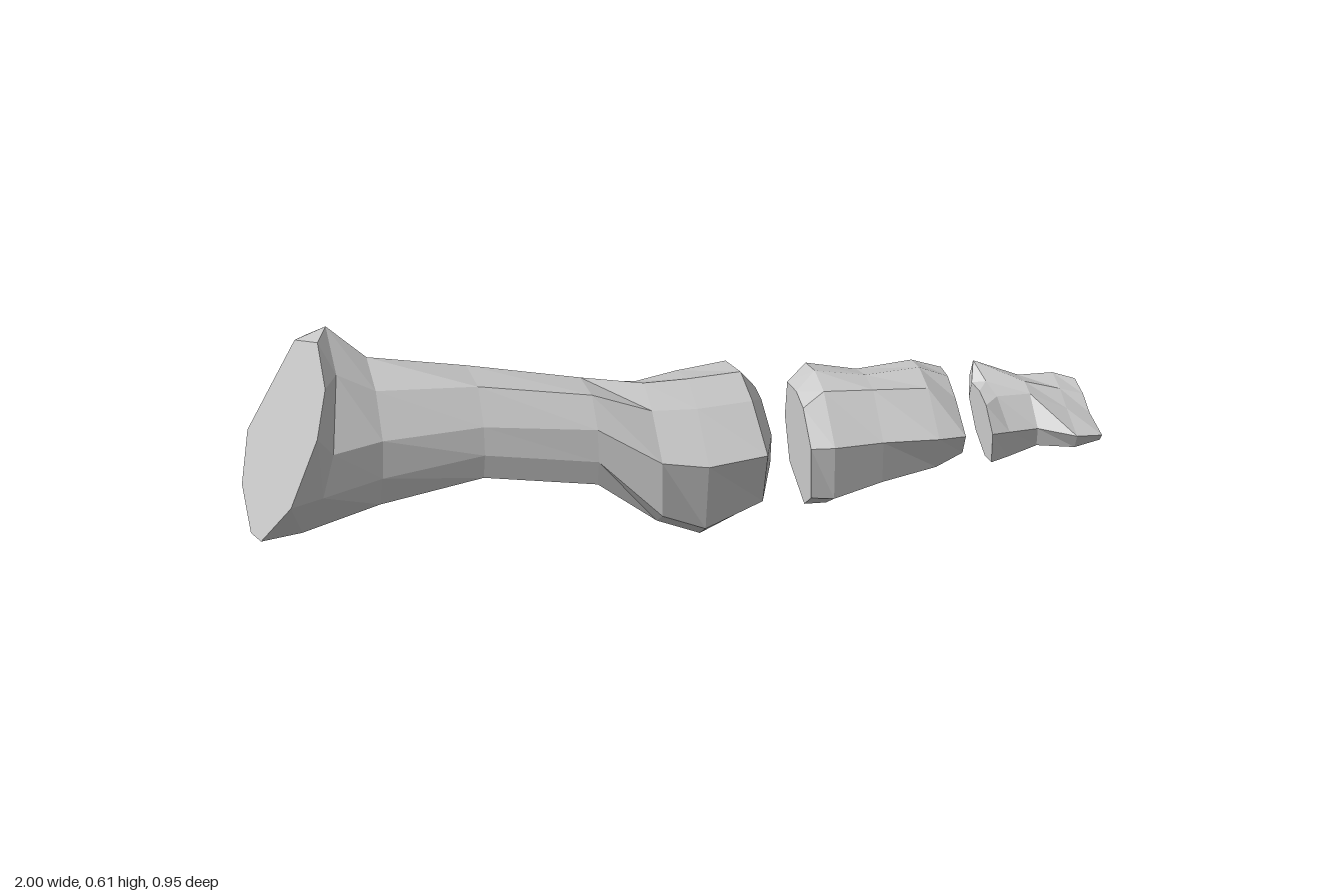
import * as THREE from 'three';

// A cross-section is a slanted slice across a bone: its middle [x, z], how far x
// shifts per unit of height (lean) and of depth (skew), and its [z, y] corners
// running top -> front -> bottom -> back.
const slice = (x, z, lean, skew, corners) => corners.map(([cz, cy]) =>
  new THREE.Vector3(x + lean * (cy - 0.3) + skew * (cz - z), cy, cz));

// Skin the slices and close both ends with a fan.
function loft(name, slices, material) {
  const pos = [];
  const tri = (...corners) => corners.forEach(p => pos.push(p.x, p.y, p.z));
  const middle = ring => ring.reduce((sum, p) => sum.add(p), new THREE.Vector3())
    .divideScalar(ring.length);
  const n = slices[0].length;
  const first = slices[0], last = slices[slices.length - 1];
  const c0 = middle(first), c1 = middle(last);
  for (let i = 0; i < n; i++) {
    const j = (i + 1) % n;
    for (let k = 0; k + 1 < slices.length; k++) {
      const a = slices[k], b = slices[k + 1];
      tri(a[i], a[j], b[j]);
      tri(a[i], b[j], b[i]);
    }
    tri(c0, first[j], first[i]);
    tri(c1, last[i], last[j]);
  }
  const geometry = new THREE.BufferGeometry();
  geometry.setAttribute('position', new THREE.Float32BufferAttribute(pos, 3));
  geometry.computeVertexNormals();
  const mesh = new THREE.Mesh(geometry, material);
  mesh.name = name;
  return mesh;
}

// Long bone: flared base with a flat joint face, then the narrow shaft
const baseAndShaft = () => [
  slice(-0.912, -0.26, 0.366, -0.39, [[-0.21, 0.61], [-0.09, 0.56], [-0.05, 0.46],
    [-0.08, 0.28], [-0.19, 0.145], [-0.26, 0.13], [-0.39, 0.18], [-0.45, 0.28], [-0.34, 0.55]]),
  slice(-0.83, -0.26, 0.25, -0.3, [[-0.27, 0.605], [-0.16, 0.54], [-0.085, 0.38],
    [-0.09, 0.27], [-0.16, 0.15], [-0.25, 0.12], [-0.42, 0.18], [-0.48, 0.28], [-0.36, 0.54]]),
  slice(-0.68, -0.2, 0, -0.39, [[-0.21, 0.525], [-0.13, 0.48], [-0.07, 0.38],
    [-0.07, 0.28], [-0.09, 0.2], [-0.18, 0.17], [-0.27, 0.18], [-0.33, 0.22], [-0.25, 0.47]]),
  slice(-0.45, -0.1, 0, -0.39, [[-0.15, 0.45], [-0.05, 0.45], [0, 0.37],
    [0.01, 0.3], [0, 0.235], [-0.07, 0.225], [-0.14, 0.22], [-0.22, 0.29], [-0.19, 0.4]]),
  slice(-0.2, 0.01, 0, -0.39, [[-0.04, 0.385], [0.06, 0.395], [0.11, 0.33],
    [0.12, 0.25], [0.11, 0.185], [0.05, 0.19], [-0.03, 0.19], [-0.08, 0.26], [-0.08, 0.35]]),
];

// Long bone: rounded head with two lobes underneath and a groove between them
const head = () => [
  slice(-0.07, 0.08, 0, -0.39, [[0.04, 0.365], [0.11, 0.33], [0.2, 0.24],
    [0.2, 0.1], [0.15, 0.06], [0.09, 0.14], [0, 0.14], [-0.04, 0.19], [-0.03, 0.33]]),
  slice(0.04, 0.1, 0, -0.39, [[0.07, 0.355], [0.15, 0.32], [0.25, 0.22],
    [0.22, 0.04], [0.17, 0], [0.11, 0.09], [0.02, 0.085], [-0.045, 0.12], [-0.03, 0.32]]),
  slice(0.17, 0.14, 0, -0.3, [[0.1, 0.345], [0.18, 0.31], [0.285, 0.22],
    [0.25, 0.08], [0.18, 0.03], [0.12, 0.1], [0.03, 0.08], [-0.03, 0.11], [0, 0.32]]),
  slice(0.225, 0.1, 0, -0.3, [[0.1, 0.29], [0.14, 0.28], [0.21, 0.22],
    [0.2, 0.14], [0.17, 0.1], [0.12, 0.14], [0.06, 0.12], [0.03, 0.19], [0.06, 0.28]]),
];

// Short chunky middle bone
const middleBone = () => [
  slice(0.3, 0.16, 0, -0.4, [[0.16, 0.28], [0.22, 0.27], [0.29, 0.2], [0.29, 0.07],
    [0.23, 0.02], [0.1, 0.06], [0.06, 0.16], [0.08, 0.26]]),
  slice(0.36, 0.16, 0, -0.4, [[0.14, 0.305], [0.22, 0.295], [0.32, 0.2], [0.31, 0.06],
    [0.24, 0.01], [0.06, 0.065], [0.02, 0.17], [0.06, 0.28]]),
  slice(0.47, 0.21, 0, -0.4, [[0.19, 0.28], [0.26, 0.28], [0.35, 0.19], [0.34, 0.08],
    [0.26, 0.045], [0.13, 0.08], [0.09, 0.17], [0.11, 0.25]]),
  slice(0.6, 0.25, 0, -0.4, [[0.22, 0.27], [0.3, 0.26], [0.4, 0.18], [0.37, 0.09],
    [0.28, 0.08], [0.17, 0.09], [0.12, 0.17], [0.15, 0.25]]),
  slice(0.665, 0.27, 0, -0.4, [[0.25, 0.24], [0.32, 0.22], [0.41, 0.17], [0.38, 0.11],
    [0.29, 0.12], [0.2, 0.12], [0.17, 0.17], [0.19, 0.23]]),
];

// Small end bone: waisted, flattening to a broad tip
const tipBone = () => [
  slice(0.74, 0.29, 0, -0.35, [[0.28, 0.19], [0.33, 0.18], [0.38, 0.13], [0.37, 0.05],
    [0.32, 0.04], [0.25, 0.07], [0.2, 0.13], [0.22, 0.18]]),
  slice(0.78, 0.27, 0, -0.2, [[0.25, 0.19], [0.31, 0.18], [0.38, 0.12], [0.37, 0.05],
    [0.31, 0.03], [0.23, 0.08], [0.16, 0.16], [0.18, 0.21]]),
  slice(0.86, 0.31, 0, -0.35, [[0.29, 0.18], [0.33, 0.17], [0.39, 0.11], [0.38, 0.06],
    [0.33, 0.055], [0.27, 0.08], [0.23, 0.14], [0.24, 0.17]]),
  slice(0.93, 0.36, 0, -0.35, [[0.33, 0.155], [0.38, 0.13], [0.46, 0.1], [0.44, 0.06],
    [0.38, 0.06], [0.3, 0.1], [0.26, 0.14], [0.27, 0.165]]),
  slice(0.98, 0.38, 0, -0.25, [[0.36, 0.14], [0.4, 0.11], [0.475, 0.09], [0.46, 0.07],
    [0.4, 0.08], [0.34, 0.1], [0.3, 0.135], [0.31, 0.155]]),
];

export function createModel() {
  const bone = new THREE.MeshStandardMaterial({ color: 0xcccccc, flatShading: true });
  const group = new THREE.Group();
  group.name = 'toeBones';
  group.add(
    loft('longBone', [...baseAndShaft(), ...head()], bone),
    loft('middleBone', middleBone(), bone),
    loft('tipBone', tipBone(), bone),
  );
  return group;
}
